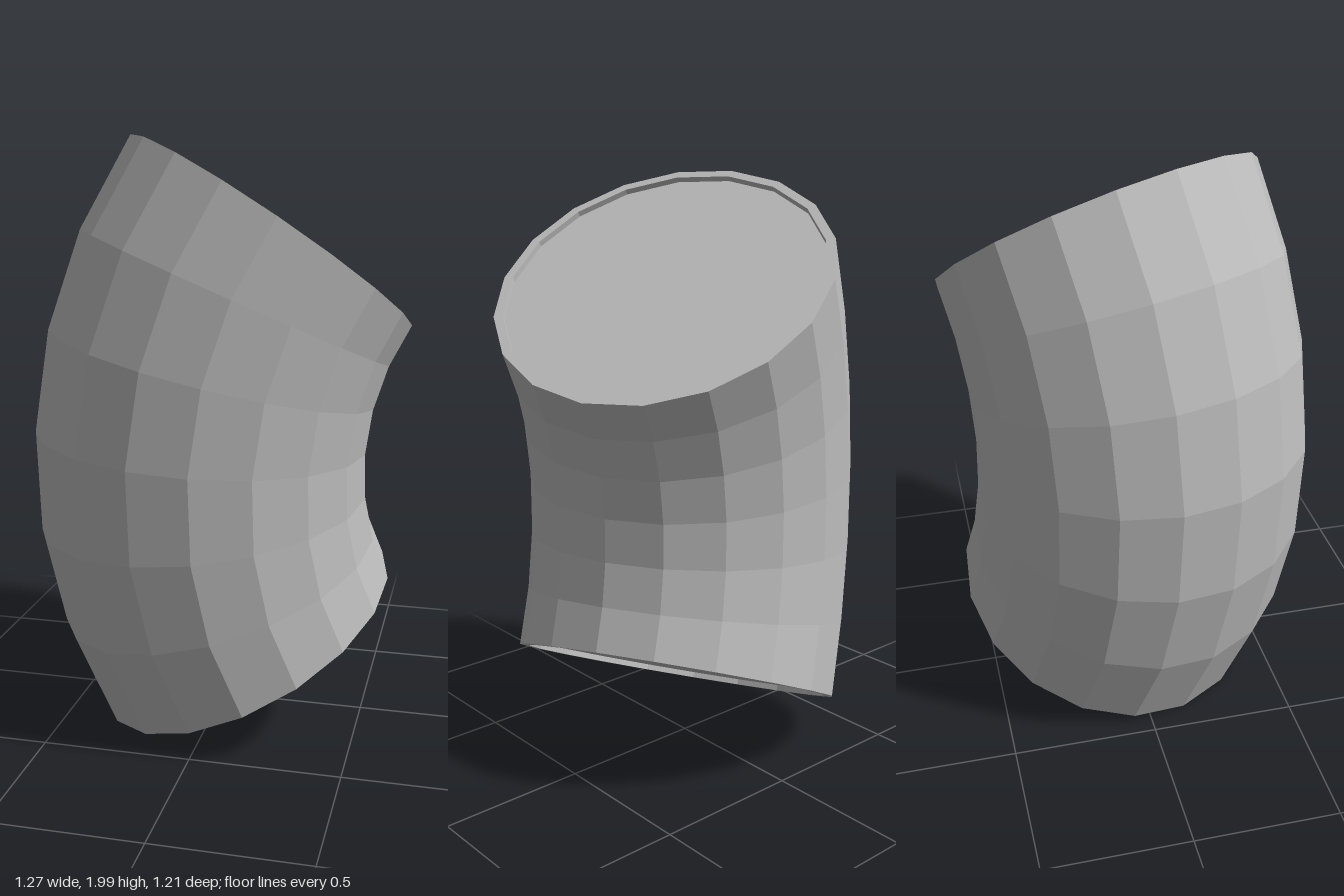
import * as THREE from 'three';

const SIDES = 18, SEGMENTS = 6;
const BEND = 1.347;            // radius of the bend's centre line
const OUTER = 0.566, INNER = 0.535, RECESS = 0.02;
const HALF = THREE.MathUtils.degToRad(31.5);
const PHASE = THREE.MathUtils.degToRad(-7.5);

// Bend frame: along = direction at mid length, inward = towards the bend centre
const along = new THREE.Vector3(0.058, 0.998, -0.02).normalize();
const inward = new THREE.Vector3(0.888, -0.059, -0.459);
inward.addScaledVector(along, -inward.dot(along)).normalize();
const across = new THREE.Vector3().crossVectors(along, inward);
const pivot = new THREE.Vector3(-0.068, 0.984, 0.051).addScaledVector(inward, BEND);

// Point on the section at bend angle t, pushed by shift along the pipe
function pipePoint([t, shift, r], j) {
  const u = inward.clone().multiplyScalar(Math.cos(t)).addScaledVector(along, -Math.sin(t));
  const dir = along.clone().multiplyScalar(Math.cos(t)).addScaledVector(inward, Math.sin(t));
  const a = PHASE + (j / SIDES) * Math.PI * 2;
  return pivot.clone().addScaledVector(u, -BEND + r * Math.cos(a))
    .addScaledVector(across, r * Math.sin(a)).addScaledVector(dir, shift);
}

// Skin over a list of rings [bend angle, shift, radius]
function sweep(rings) {
  const pos = [];
  const tri = (...pts) => pts.forEach((p) => pos.push(p.x, p.y, p.z));
  for (let i = 0; i < rings.length - 1; i++) {
    for (let j = 0; j < SIDES; j++) {
      const a = pipePoint(rings[i], j), b = pipePoint(rings[i], j + 1);
      const c = pipePoint(rings[i + 1], j + 1), d = pipePoint(rings[i + 1], j);
      if (rings[i][2] > 0) tri(a, b, c);
      if (rings[i + 1][2] > 0) tri(a, c, d);
      else if (rings[i][2] === 0) tri(a, c, d);
    }
  }
  const geo = new THREE.BufferGeometry();
  geo.setAttribute('position', new THREE.Float32BufferAttribute(pos, 3));
  geo.computeVertexNormals();
  return geo;
}

export function createModel() {
  const group = new THREE.Group();
  group.name = 'pipeBend';
  const grey = new THREE.MeshStandardMaterial({ color: 0xbcbcbc });
  grey.name = 'grey';
  grey.flatShading = true;
  const add = (name, rings) => {
    const mesh = new THREE.Mesh(sweep(rings), grey);
    mesh.name = name;
    group.add(mesh);
  };

  // Curved outer wall
  const wall = [];
  for (let i = 0; i <= SEGMENTS; i++) wall.push([HALF * (2 * i / SEGMENTS - 1), 0, OUTER]);
  add('bendWall', wall);

  // Rim and recessed cap at each end
  for (const [end, s] of [['bottom', -1], ['top', 1]]) {
    const t = s * HALF, depth = -s * RECESS;
    const rim = [[t, depth, INNER], [t, 0, INNER], [t, 0, OUTER]];
    const cap = [[t, depth, 0], [t, depth, INNER]];
    if (s > 0) { rim.reverse(); cap.reverse(); }
    add(end + 'Rim', rim);
    add(end + 'Cap', cap);
  }

  // Centre on x and z, stand on the ground
  const box = new THREE.Box3().setFromObject(group);
  const mid = box.getCenter(new THREE.Vector3());
  group.children.forEach((m) => m.geometry.translate(-mid.x, -box.min.y, -mid.z));
  return group;
}
